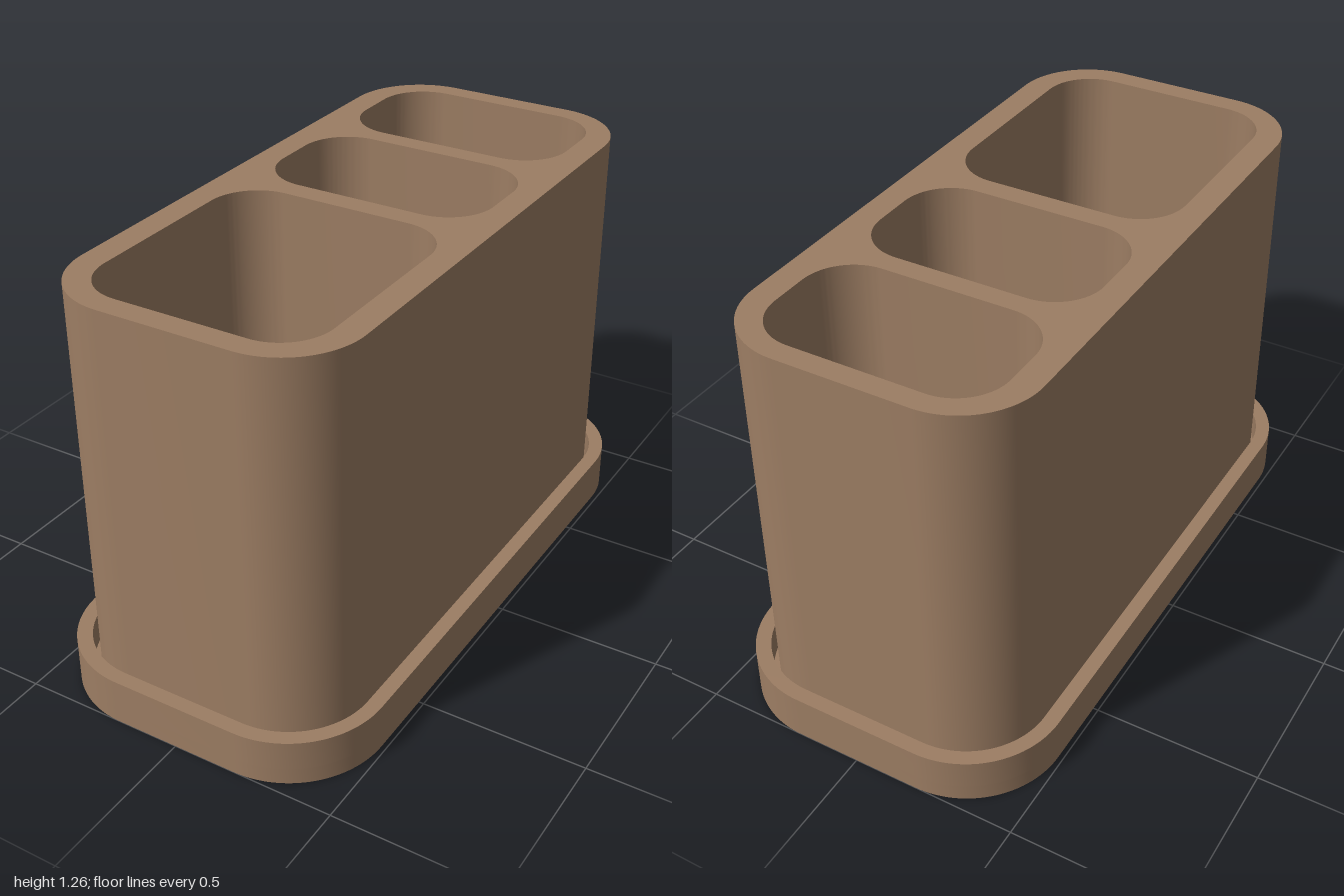
import * as THREE from 'three';
import { toCreasedNormals } from 'three/addons/utils/BufferGeometryUtils.js';

// Traces a rounded rectangle; plan z maps to shape -y.
function roundedRect(path, x0, x1, z0, z1, r) {
  const b = -z1, t = -z0;
  path.moveTo(x0 + r, b);
  path.lineTo(x1 - r, b);
  path.absarc(x1 - r, b + r, r, -Math.PI / 2, 0, false);
  path.lineTo(x1, t - r);
  path.absarc(x1 - r, t - r, r, 0, Math.PI / 2, false);
  path.lineTo(x0 + r, t);
  path.absarc(x0 + r, t - r, r, Math.PI / 2, Math.PI, false);
  path.lineTo(x0, b + r);
  path.absarc(x0 + r, b + r, r, Math.PI, Math.PI * 1.5, false);
  return path;
}

// Vertical prism from y0 to y1 with a rounded outline and through holes.
function prism(name, material, outline, holes, y0, y1) {
  const shape = roundedRect(new THREE.Shape(), ...outline);
  for (const h of holes) shape.holes.push(roundedRect(new THREE.Path(), ...h));
  const geometry = new THREE.ExtrudeGeometry(shape, {
    depth: y1 - y0, bevelEnabled: false, curveSegments: 16,
  });
  geometry.rotateX(-Math.PI / 2);
  geometry.translate(0, y0, 0);
  const mesh = new THREE.Mesh(toCreasedNormals(geometry, Math.PI / 6), material);
  mesh.name = name;
  return mesh;
}

export function createModel() {
  const model = new THREE.Group();
  model.name = 'compartmentHolder';
  const brown = new THREE.MeshStandardMaterial({ color: 0x9c7d63 });
  brown.name = 'warm brown';

  const trayFloorTop = 0.05, cupFloorTop = 0.1;
  const trayOutline = [-0.485, 0.485, -1, 1, 0.29];
  const trayInside = [-0.44, 0.44, -0.955, 0.955, 0.245];
  const cupOutline = [-0.43, 0.43, -0.93, 0.93, 0.23];

  // Compartments front to back, each with a pair of drain slots
  const compartments = [
    { z0: 0.095, z1: 0.86, slot: 0.25 },
    { z0: -0.39, z1: 0.025, slot: 0.09 },
    { z0: -0.865, z1: -0.455, slot: 0.09 },
  ];
  const pockets = compartments.map(({ z0, z1 }) => [-0.348, 0.348, z0, z1, 0.148]);
  const slots = compartments.flatMap(({ z0, z1, slot }) => {
    const mid = (z0 + z1) / 2;
    return [-0.327, 0.327].map((x) =>
      [x - 0.017, x + 0.017, mid - slot / 2, mid + slot / 2, 0.006]);
  });

  // Drip tray
  const tray = new THREE.Group();
  tray.name = 'dripTray';
  tray.add(
    prism('trayFloor', brown, trayOutline, [], 0, trayFloorTop),
    prism('trayRim', brown, trayOutline, [trayInside], trayFloorTop, 0.14),
  );

  // Divided holder standing in the tray
  const holder = new THREE.Group();
  holder.name = 'holder';
  holder.add(
    prism('holderFloor', brown, cupOutline, slots, trayFloorTop, cupFloorTop),
    prism('holderWalls', brown, cupOutline, pockets, cupFloorTop, 1.26),
  );

  model.add(tray, holder);
  return model;
}
